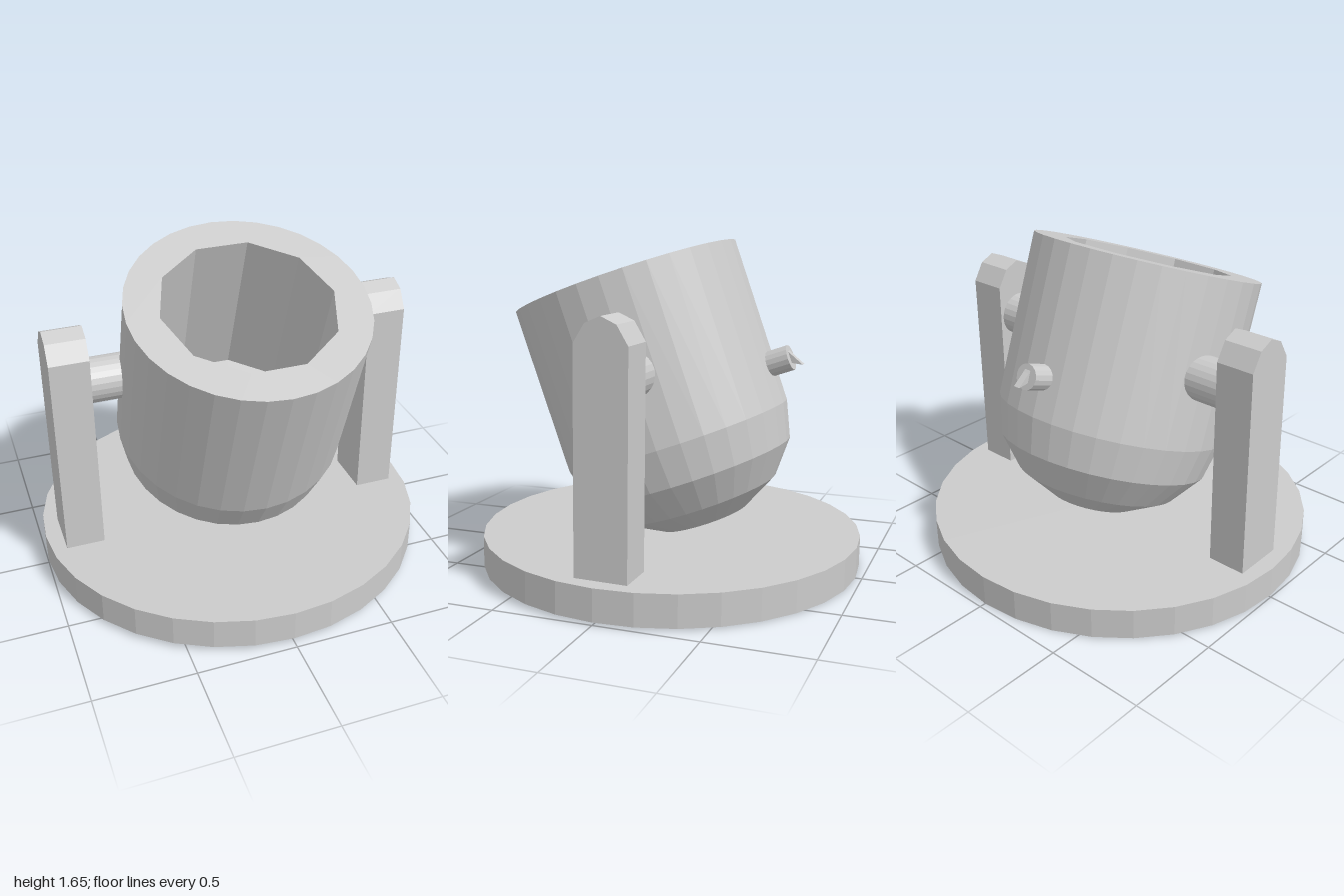
import * as THREE from 'three';

const material = new THREE.MeshStandardMaterial({ color: 0xcccccc, flatShading: true });

function add(parent, name, geometry, x = 0, y = 0, z = 0) {
  const mesh = new THREE.Mesh(geometry, material);
  mesh.name = name;
  mesh.position.set(x, y, z);
  parent.add(mesh);
  return mesh;
}

const lathe = (points, sides, start = 0) =>
  new THREE.LatheGeometry(points.map(([r, y]) => new THREE.Vector2(r, y)), sides, start);

export function createModel() {
  const model = new THREE.Group();
  model.name = 'mortar';

  // Stand: leans back very slightly
  const stand = new THREE.Group();
  stand.name = 'stand';
  stand.position.y = 0.015;
  stand.rotation.x = -0.014;
  model.add(stand);

  const disc = add(stand, 'basePlate', new THREE.CylinderGeometry(1, 1, 0.157, 32), 0, 0.0785, 0);
  disc.scale.z = 0.968;

  // Side posts with rounded tops
  const profile = new THREE.Shape([
    [-0.13, 0.13], [0.13, 0.13], [0.13, 1.21], [0.075, 1.3],
    [0, 1.333], [-0.075, 1.3], [-0.13, 1.21],
  ].map(([z, y]) => new THREE.Vector2(z, y)));
  const post = new THREE.ExtrudeGeometry(profile, { depth: 0.195, bevelEnabled: false });
  post.translate(0, 0, -0.0975).rotateY(Math.PI / 2);

  for (const [side, s, inner] of [['left', 1, 0.54], ['right', -1, 0.5]]) {
    add(stand, side + 'Post', post, s * 0.817, 0, 0);
    // Trunnion pin from post to barrel
    const length = 0.74 - inner;
    const pin = new THREE.CylinderGeometry(0.112, 0.112, length, 24).rotateZ(Math.PI / 2);
    add(stand, side + 'Pin', pin, s * (inner + length / 2), 1.035, -0.003);
  }

  // Barrel group: origin at the middle of the mouth, axis along local y
  const barrel = new THREE.Group();
  barrel.name = 'barrel';
  barrel.position.set(0.02, 1.46, 0.244);
  barrel.rotation.x = 0.341;
  model.add(barrel);

  // Outer shell with a shallow domed breech
  const R = 0.587, wall = 0.84, dome = 0.49;
  const shell = [];
  for (let i = 4; i >= 0; i--) {
    const a = (i * Math.PI) / 8;
    shell.push([i === 4 ? 0 : R * Math.cos(a), -wall - dome * Math.sin(a)]);
  }
  shell.push([R, 0]);
  add(barrel, 'barrelShell', lathe(shell, 32));

  // Ten-sided bore
  const r = 0.43, sides = 10, turn = Math.PI / sides;
  add(barrel, 'bore', lathe([[r, 0], [r, -0.86], [0, -0.86]], sides, turn));

  // Flat muzzle ring between shell and bore
  const circle = (radius, n, start) => Array.from({ length: n }, (_, i) => {
    const a = start + (i * 2 * Math.PI) / n;
    return new THREE.Vector2(radius * Math.sin(a), -radius * Math.cos(a));
  });
  const ring = new THREE.Shape(circle(R, 32, 0));
  ring.holes.push(new THREE.Path(circle(r, sides, turn)));
  add(barrel, 'muzzleRing', new THREE.ShapeGeometry(ring).rotateX(-Math.PI / 2));

  // Fuse holder on the back, with a thin hooked fuse
  const holder = new THREE.CylinderGeometry(0.063, 0.063, 0.16, 16).rotateX(Math.PI / 2);
  add(barrel, 'fuseHolder', holder, -0.005, -0.64, -0.613);
  const fin = new THREE.Shape([[0.68, -0.58], [0.69, -0.665], [0.742, -0.69], [0.70, -0.62]]
    .map(([z, y]) => new THREE.Vector2(z, y)));
  const fuse = new THREE.ExtrudeGeometry(fin, { depth: 0.035, bevelEnabled: false });
  fuse.translate(0, 0, -0.0175).rotateY(Math.PI / 2);
  add(barrel, 'fuse', fuse, -0.005, 0, 0);

  return model;
}
